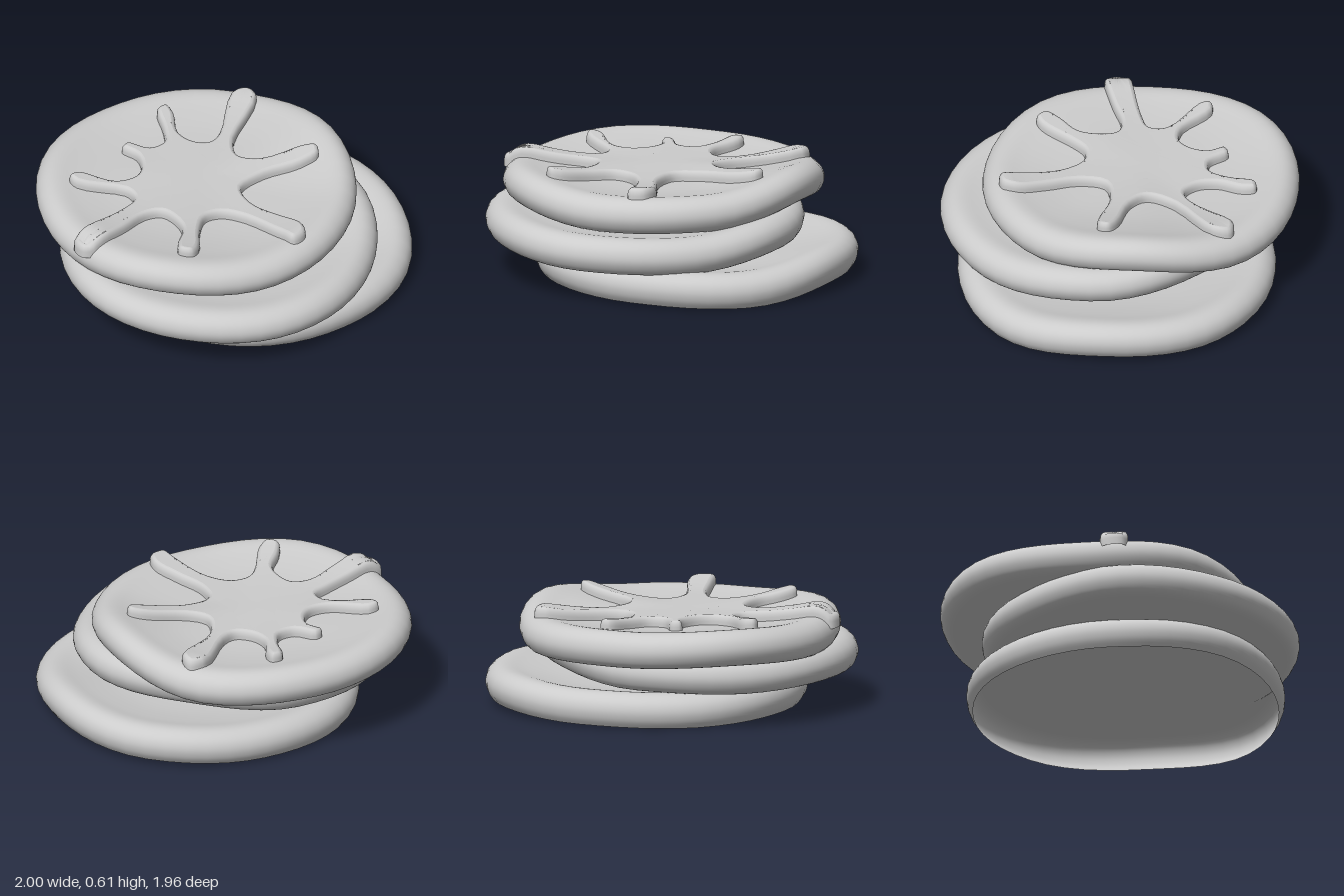
import * as THREE from 'three';
import { mergeVertices } from 'three/addons/utils/BufferGeometryUtils.js';

const SEGMENTS = 48;
const material = new THREE.MeshStandardMaterial({ color: 0xcccccc, side: THREE.DoubleSide });

// Half sections of a pancake (x = fraction of the radius, y = height):
// a dished top and rounded rim, then either an open or a closed underside
const section = (points, count) => new THREE.SplineCurve(
  points.map(([x, y]) => new THREE.Vector2(x, y))).getPoints(count);
const upper = [
  [0, 0.13], [0.3, 0.131], [0.55, 0.138], [0.74, 0.158], [0.86, 0.177], [0.93, 0.17],
  [0.98, 0.137], [1, 0.09],
];
const openProfile = section([...upper, [0.99, 0.04], [0.96, 0]], 36);
const closedProfile = section([
  ...upper, [0.99, 0.045], [0.955, 0.005], [0.88, -0.015], [0.7, -0.022], [0.35, -0.02], [0, -0.02],
], 48);

// Smooth closed interpolation of values spaced evenly around the circle
function around(values, angle) {
  const n = values.length;
  const t = (((angle / (2 * Math.PI)) % 1 + 1) % 1) * n;
  const i = Math.floor(t) % n;
  const k = t - Math.floor(t);
  return THREE.MathUtils.lerp(values[i], values[(i + 1) % n], k * k * (3 - 2 * k));
}

function smoothMesh(geometry, name) {
  geometry.computeVertexNormals();
  const mesh = new THREE.Mesh(geometry, material);
  mesh.name = name;
  return mesh;
}

// Skin over closed rings of points, ordered from the middle outward
function loft(rings, name) {
  const n = rings[0].length;
  const index = [];
  for (let i = 0; i < rings.length - 1; i++) {
    for (let j = 0; j < n; j++) {
      const a = i * n + j, b = i * n + (j + 1) % n;
      index.push(a, b, a + n, b, b + n, a + n);
    }
  }
  const geometry = new THREE.BufferGeometry().setFromPoints(rings.flat());
  geometry.setIndex(index);
  return smoothMesh(geometry, name);
}

// Rim lift and radius are listed every 45 degrees, from +x towards +z
const pancakes = [
  { name: 'bottomPancake', x: 0.13, z: -0.115, y: 0.01, profile: openProfile,
    radius: [0.865, 0.842, 0.865, 0.85, 0.865, 0.85, 0.865, 0.84],
    lift: [-0.01, 0.005, 0.02, 0, -0.01, 0, 0.02, 0.035] },
  { name: 'middlePancake', x: 0.02, z: 0.14, y: 0.2, profile: closedProfile,
    radius: [0.84, 0.85, 0.84, 0.86, 0.84, 0.84, 0.835, 0.86],
    lift: [-0.025, -0.015, 0, 0.005, -0.015, 0, 0.05, 0.025] },
  { name: 'topPancake', x: -0.145, z: -0.02, y: 0.37, profile: closedProfile,
    radius: [0.855, 0.855, 0.86, 0.84, 0.855, 0.83, 0.86, 0.85],
    lift: [-0.01, -0.02, 0.02, -0.015, 0.01, -0.01, -0.02, 0.055] },
];

function liftAt(p, angle, f) {
  return around(p.lift, angle) * Math.min(1, f) ** 1.5;
}

function makePancake(p) {
  const rings = p.profile.map(({ x: f, y }) => Array.from({ length: SEGMENTS }, (_, j) => {
    const angle = (j / SEGMENTS) * 2 * Math.PI;
    const r = f * around(p.radius, angle);
    return new THREE.Vector3(
      p.x + r * Math.cos(angle), p.y + y + liftAt(p, angle, f), p.z + r * Math.sin(angle));
  }));
  return loft(rings, p.name);
}

// Height of a pancake's upper surface at a point
function topHeight(p, x, z) {
  const angle = Math.atan2(z - p.z, x - p.x);
  const f = Math.min(0.98, Math.hypot(x - p.x, z - p.z) / around(p.radius, angle));
  const i = Math.max(1, p.profile.findIndex((q) => q.x >= f));
  const a = p.profile[i - 1], b = p.profile[i];
  const y = THREE.MathUtils.lerp(a.y, b.y, (f - a.x) / (b.x - a.x));
  return p.y + y + liftAt(p, angle, f);
}

// Outline of the syrup puddle and its eight runs, as x, z pairs
const syrupOutline = [
  -0.14, -0.75, -0.07, -0.815, 0, -0.75, -0.035, -0.4, 0.03, -0.25, 0.15, -0.25,
  0.34, -0.37, 0.42, -0.385, 0.445, -0.33, 0.37, -0.25, 0.2, -0.14, 0.11, 0,
  0.2, 0.12, 0.36, 0.19, 0.5, 0.25, 0.545, 0.33, 0.5, 0.4, 0.42, 0.36,
  0.2, 0.25, 0.06, 0.24, -0.01, 0.3, -0.01, 0.42, 0.03, 0.6, 0.01, 0.665,
  -0.06, 0.665, -0.09, 0.58, -0.1, 0.45, -0.17, 0.36, -0.25, 0.32, -0.33, 0.37,
  -0.4, 0.52, -0.5, 0.7, -0.57, 0.73, -0.64, 0.66, -0.59, 0.57, -0.46, 0.35,
  -0.42, 0.24, -0.48, 0.18, -0.74, 0.21, -0.79, 0.17, -0.75, 0.12, -0.55, 0.12,
  -0.46, 0.05, -0.45, -0.04, -0.5, -0.13, -0.59, -0.17, -0.57, -0.22, -0.45, -0.21,
  -0.39, -0.28, -0.42, -0.39, -0.49, -0.53, -0.45, -0.575, -0.4, -0.53, -0.34, -0.39,
  -0.25, -0.33, -0.16, -0.34, -0.125, -0.43,
];

function makeSyrup(p) {
  const points = [];
  for (let i = 0; i < syrupOutline.length; i += 2) {
    points.push(new THREE.Vector3(syrupOutline[i], 0, syrupOutline[i + 1]));
  }
  const curve = new THREE.CatmullRomCurve3(points, true, 'centripetal');
  const count = points.length * 4;
  const thickness = 0.054;
  const lay = (v, height) => v.setY(topHeight(p, v.x, v.z) + height);

  // Rounded side: the outline moved inward ring by ring and laid on the pancake
  const ring = (inset, height) => Array.from({ length: count }, (_, j) => {
    const tangent = curve.getTangent(j / count);
    const v = curve.getPoint(j / count);
    v.x -= tangent.z * inset;
    v.z += tangent.x * inset;
    return lay(v, height);
  });
  const rings = [
    ring(0.024, thickness), ring(0.012, 0.05), ring(0.003, 0.037), ring(0, 0.018), ring(0, -0.02),
  ];

  // Top: the filled outline, split finely so it follows the pancake
  const flat = rings[0].map((v) => new THREE.Vector2(v.x, v.z));
  let triangles = THREE.ShapeUtils.triangulateShape(flat, [])
    .map(([a, b, c]) => [rings[0][a], rings[0][c], rings[0][b]]);
  const middle = (a, b) => lay(a.clone().lerp(b, 0.5), thickness);
  for (let pass = 0; pass < 3; pass++) {
    triangles = triangles.flatMap(([a, b, c]) => {
      const ab = middle(a, b), bc = middle(b, c), ca = middle(c, a);
      return [[a, ab, ca], [ab, b, bc], [ca, bc, c], [ab, bc, ca]];
    });
  }
  const top = mergeVertices(new THREE.BufferGeometry().setFromPoints(triangles.flat()));

  const syrup = new THREE.Group();
  syrup.name = 'syrup';
  syrup.add(loft(rings, 'syrupEdge'), smoothMesh(top, 'syrupTop'));
  return syrup;
}

export function createModel() {
  const model = new THREE.Group();
  model.name = 'pancakeStack';
  for (const p of pancakes) model.add(makePancake(p));
  model.add(makeSyrup(pancakes[2]));
  return model;
}
